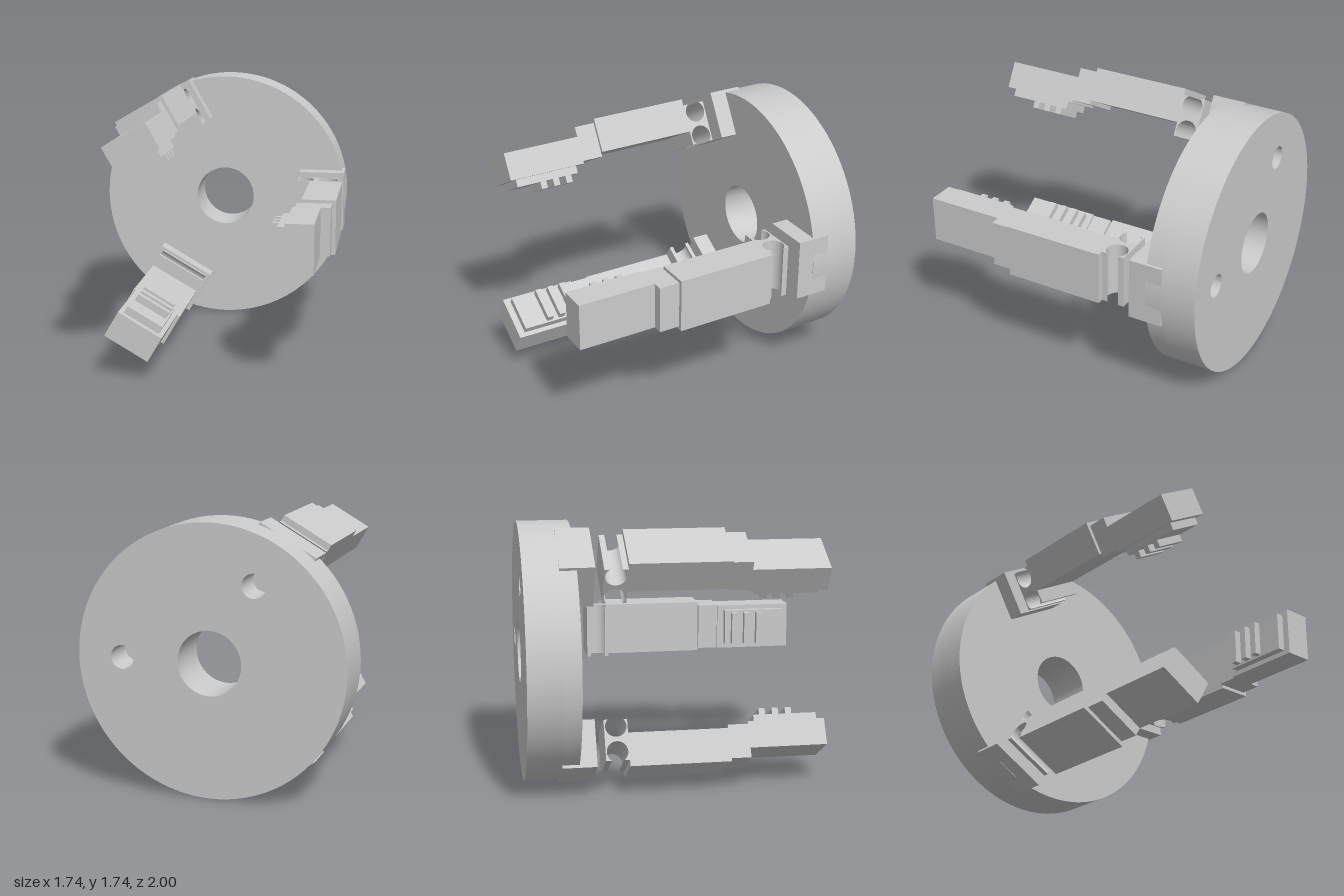
import * as THREE from 'three';
import { toCreasedNormals } from 'three/addons/utils/BufferGeometryUtils.js';

const CENTRE_Y = 0.87;
const material = new THREE.MeshStandardMaterial({ color: 0xcccccc });

function addMesh(parent, name, geometry) {
  const mesh = new THREE.Mesh(geometry, material);
  mesh.name = name;
  parent.add(mesh);
  return mesh;
}

// Box given by its extents: x is the distance from the disc axis, t the half width
function addBlock(parent, name, [x0, x1], t, [z0, z1]) {
  const geometry = new THREE.BoxGeometry(x1 - x0, 2 * t, z1 - z0);
  geometry.translate((x0 + x1) / 2, 0, (z0 + z1) / 2);
  return addMesh(parent, name, geometry);
}

function extrude(shape, depth) {
  const geometry = new THREE.ExtrudeGeometry(shape, { depth, bevelEnabled: false, curveSegments: 48 });
  return toCreasedNormals(geometry, Math.PI / 6);
}

// Slice of the round body with circular holes [x, y, radius]
function addDisc(parent, name, z0, z1, holes) {
  const shape = new THREE.Shape().absarc(0, 0, 0.87, 0, Math.PI * 2, false);
  for (const [x, y, r] of holes) {
    shape.holes.push(new THREE.Path().absarc(x, y, r, 0, Math.PI * 2, true));
  }
  addMesh(parent, name, extrude(shape, z1 - z0)).position.z = z0;
}

// Coupling with a round groove along its inner and outer sides
function neckGeometry() {
  const [x0, x1, s0, s1] = [0.548, 0.823, 0.33, 0.485];
  const [inner, outer, r] = [0.595, 0.765, 0.07];
  const mid = (s0 + s1) / 2;
  const a = Math.acos((x1 - outer) / r);
  const b = Math.acos((inner - x0) / r);
  const shape = new THREE.Shape();
  shape.moveTo(x0, s0);
  shape.lineTo(x1, s0);
  shape.absarc(outer, mid, r, -a, a - Math.PI * 2, true);
  shape.lineTo(x1, s1);
  shape.lineTo(x0, s1);
  shape.absarc(inner, mid, r, Math.PI - b, b - Math.PI, true);
  shape.closePath();
  return extrude(shape, 0.36).rotateX(-Math.PI / 2).translate(0, -0.18, 0);
}

function createJaw() {
  const jaw = new THREE.Group();
  addBlock(jaw, 'jawBase', [0.548, 0.865], 0.207, [-0.77, -0.545]);
  addMesh(jaw, 'groovedNeck', neckGeometry());
  addBlock(jaw, 'fingerBody', [0.64, 0.865], 0.18, [-0.33, 0.34]);
  addBlock(jaw, 'fingerCollar', [0.612, 0.84], 0.158, [0.34, 0.478]);
  addBlock(jaw, 'fingerTip', [0.595, 0.775], 0.158, [0.478, 1]);
  addBlock(jaw, 'gripPad', [0.545, 0.595], 0.127, [0.525, 0.955]);
  for (const z of [0.59, 0.68, 0.77]) {
    addBlock(jaw, 'gripRib', [0.498, 0.545], 0.115, [z - 0.021, z + 0.021]);
  }
  return jaw;
}

export function createModel() {
  const model = new THREE.Group();
  model.name = 'threeJawGripper';
  const gripper = new THREE.Group();
  gripper.name = 'gripper';
  gripper.position.y = CENTRE_Y;
  model.add(gripper);

  // Round body: bore right through, two blind holes in the back
  const bore = [0, 0, 0.207];
  const ports = [0, 1].map((i) => {
    const angle = (i * Math.PI * 2) / 3;
    return [0.575 * Math.cos(angle), 0.575 * Math.sin(angle), 0.077];
  });
  addDisc(gripper, 'discFront', -0.77, -0.66, [bore]);
  addDisc(gripper, 'discBack', -1, -0.77, [bore, ...ports]);

  // Three jaws evenly spaced around the axis
  for (let i = 0; i < 3; i++) {
    const jaw = createJaw();
    jaw.name = 'jaw' + (i + 1);
    jaw.rotation.z = (i * Math.PI * 2) / 3;
    gripper.add(jaw);
  }
  return model;
}
